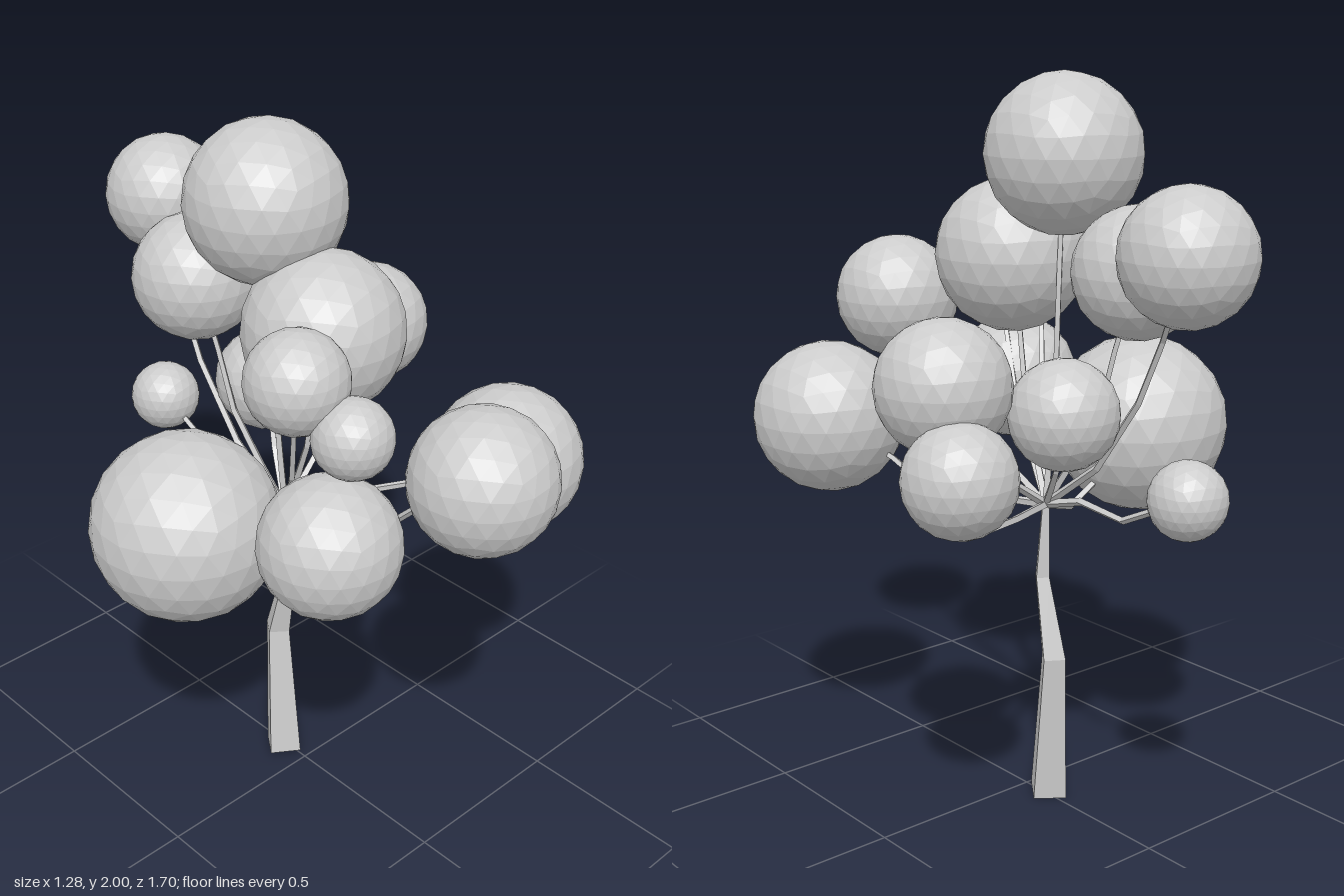
import * as THREE from 'three';

const material = new THREE.MeshStandardMaterial({ color: 0xcccccc, flatShading: true });
const UP = new THREE.Vector3(0, 1, 0);
const HUB = [0.005, 0.86, -0.085];

// Faceted tapering limb: one ring of a cylinder per path point, turned along the path
function limb(name, path, radii, sides, spin = 0) {
  const pts = path.map((p) => new THREE.Vector3(...p));
  const last = pts.length - 1;
  const geo = new THREE.CylinderGeometry(1, 1, last, sides, last, false, spin);
  const turns = pts.map((p, i) => {
    const dir = pts[Math.min(i + 1, last)].clone().sub(pts[Math.max(i - 1, 0)]).normalize();
    return new THREE.Quaternion().setFromUnitVectors(UP, dir);
  });
  const pos = geo.attributes.position;
  const v = new THREE.Vector3();
  for (let i = 0; i < pos.count; i++) {
    const row = Math.round(pos.getY(i) + last / 2);
    v.set(pos.getX(i), 0, pos.getZ(i)).multiplyScalar(radii[row]);
    v.applyQuaternion(turns[row]).add(pts[row]);
    pos.setXYZ(i, v.x, v.y, v.z);
  }
  geo.computeVertexNormals();
  const mesh = new THREE.Mesh(geo, material);
  mesh.name = name;
  return mesh;
}

// Bends of a branch: it spreads outward first, then climbs to its foliage ball
function bends(end) {
  return [[0.3, 0.2], [0.6, 0.42], [0.76, 0.68]].map(([h, v]) =>
    HUB.map((c, i) => c + (end[i] - c) * (i === 1 ? v : h)));
}

// Foliage balls: centre, radius and, where the branch bends differently, its bends
const FOLIAGE = [
  { at: [-0.05, 1.79, -0.09], r: 0.21 },
  { at: [-0.05, 1.51, 0.12], r: 0.21 },
  { at: [0.10, 1.60, -0.685], r: 0.167, via: [[0.0, 1.0, -0.28], [0.0, 1.2, -0.43], [0.01, 1.37, -0.52]] },
  { at: [-0.07, 1.51, -0.35], r: 0.172 },
  { at: [-0.06, 1.325, 0.67], r: 0.183 },
  { at: [0.38, 1.077, 0.385], r: 0.207, via: [[0.14, 0.89, 0.0], [0.27, 0.93, 0.13], [0.30, 0.98, 0.2]] },
  { at: [-0.277, 1.10, 0.383], r: 0.184 },
  { at: [-0.394, 1.014, -0.03], r: 0.252, via: [[-0.1, 0.83, -0.07], [-0.2, 0.88, -0.06]] },
  { at: [0.43, 1.262, -0.195], r: 0.172 },
  { at: [0.493, 1.07, -0.338], r: 0.144, via: [[0.2, 0.88, -0.19], [0.37, 0.9, -0.27]] },
  { at: [0.025, 0.998, -0.632], r: 0.101, via: [[0.01, 0.9, -0.23], [0.02, 0.89, -0.4]] },
  { at: [0.115, 1.16, -0.28], r: 0.145 },
  { at: [-0.28, 1.51, 0.27], r: 0.131 },
  { at: [-0.241, 1.405, 0.42], r: 0.102 },
];

export function createModel() {
  const tree = new THREE.Group();
  tree.name = 'tree';

  // Crooked four-sided trunk
  tree.add(limb('trunk',
    [[-0.01, 0.008, -0.083], [0.006, 0.43, -0.122], [0.005, 0.65, -0.072], HUB],
    [0.064, 0.042, 0.025, 0.013], 4, 0.16));

  // Branches fanning out from the top of the trunk, each carrying a ball
  const branches = new THREE.Group();
  branches.name = 'branches';
  const foliage = new THREE.Group();
  foliage.name = 'foliage';
  const ball = new THREE.IcosahedronGeometry(1, 3);
  ball.rotateZ(Math.atan(2 / (1 + Math.sqrt(5)))); // one corner straight up
  for (const { at, r, via } of FOLIAGE) {
    const path = [HUB, ...(via ?? bends(at)), at];
    branches.add(limb('branch', path, path.map((_, i) => 0.012 - 0.001 * i), 4));
    const mesh = new THREE.Mesh(ball, material);
    mesh.name = 'foliageBall';
    mesh.position.set(...at);
    mesh.scale.setScalar(r);
    foliage.add(mesh);
  }
  tree.add(branches, foliage);
  return tree;
}
